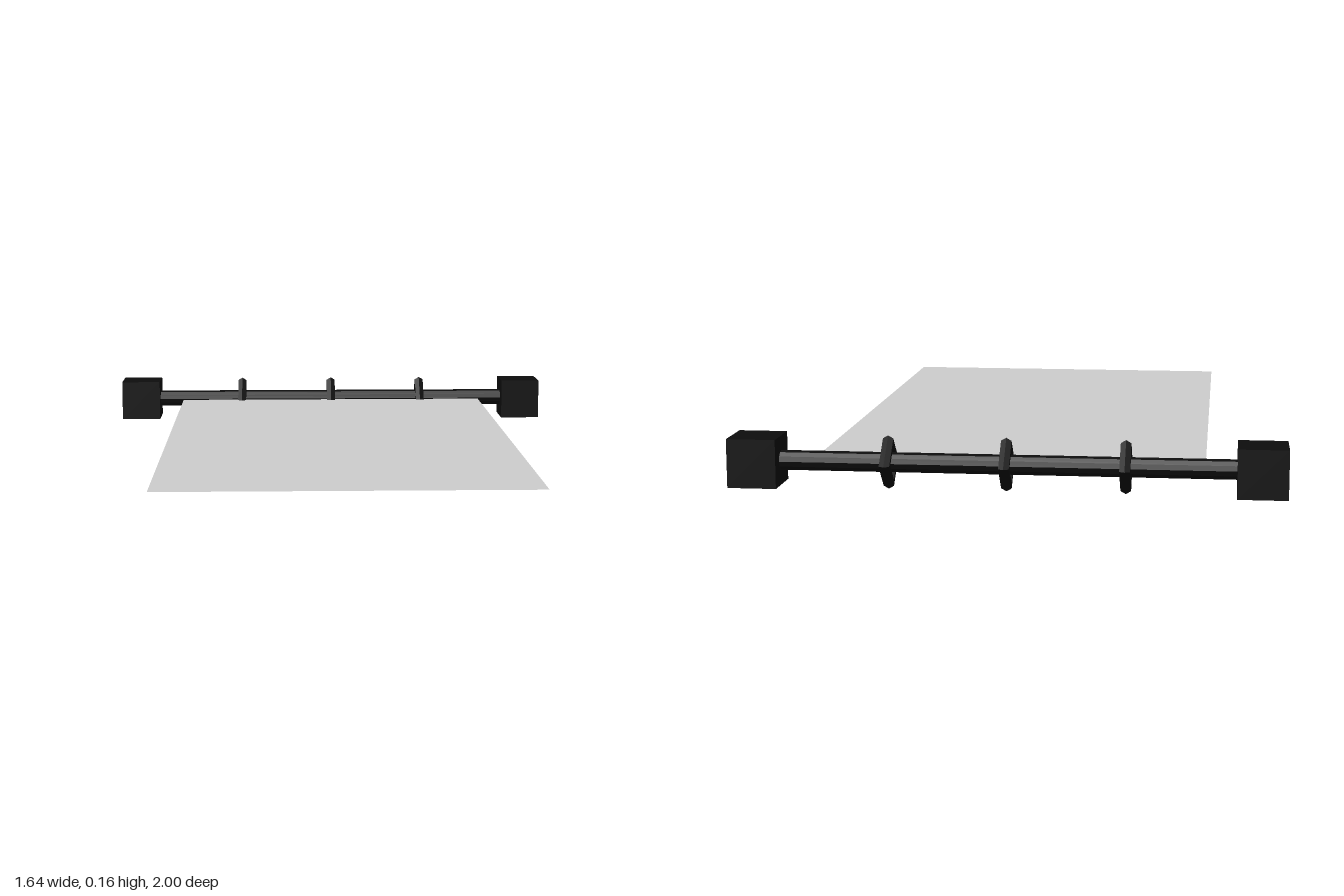
import * as THREE from 'three';

const AXIS_Y = 0.08;
const AXIS_Z = -0.92;

export function createModel() {
  const model = new THREE.Group();
  model.name = 'hangingBanner';
  const black = new THREE.MeshStandardMaterial({ color: 0x0c0c0c, flatShading: true });
  const cloth = new THREE.MeshStandardMaterial({ color: 0xcccccc, side: THREE.DoubleSide });

  function add(name, geometry, material, x, y, z) {
    const mesh = new THREE.Mesh(geometry, material);
    mesh.name = name;
    mesh.position.set(x, y, z);
    model.add(mesh);
  }

  // Round pole running between the end blocks
  const pole = new THREE.CylinderGeometry(0.03, 0.03, 1.4, 12).rotateZ(Math.PI / 2);
  add('pole', pole, black, 0, AXIS_Y, AXIS_Z);

  // Square finial at each end of the pole
  const block = new THREE.BoxGeometry(0.146, 0.146, 0.146);
  for (const side of [-1, 1]) {
    add(side > 0 ? 'leftEndBlock' : 'rightEndBlock', block, black, side * 0.745, AXIS_Y, AXIS_Z);
  }

  // Four-sided rings with a corner at top, bottom, front and back
  const ring = new THREE.TorusGeometry(0.062, 0.018, 6, 4).rotateY(Math.PI / 2);
  for (const i of [-1, 0, 1]) add('ring', ring, black, i * 0.35, AXIS_Y, AXIS_Z);

  // Flat cloth sheet held by the front corners of the rings
  const sheet = new THREE.PlaneGeometry(1.16, 1.865).rotateX(-Math.PI / 2);
  add('clothSheet', sheet, cloth, 0, AXIS_Y, (1 - 0.865) / 2);

  return model;
}
